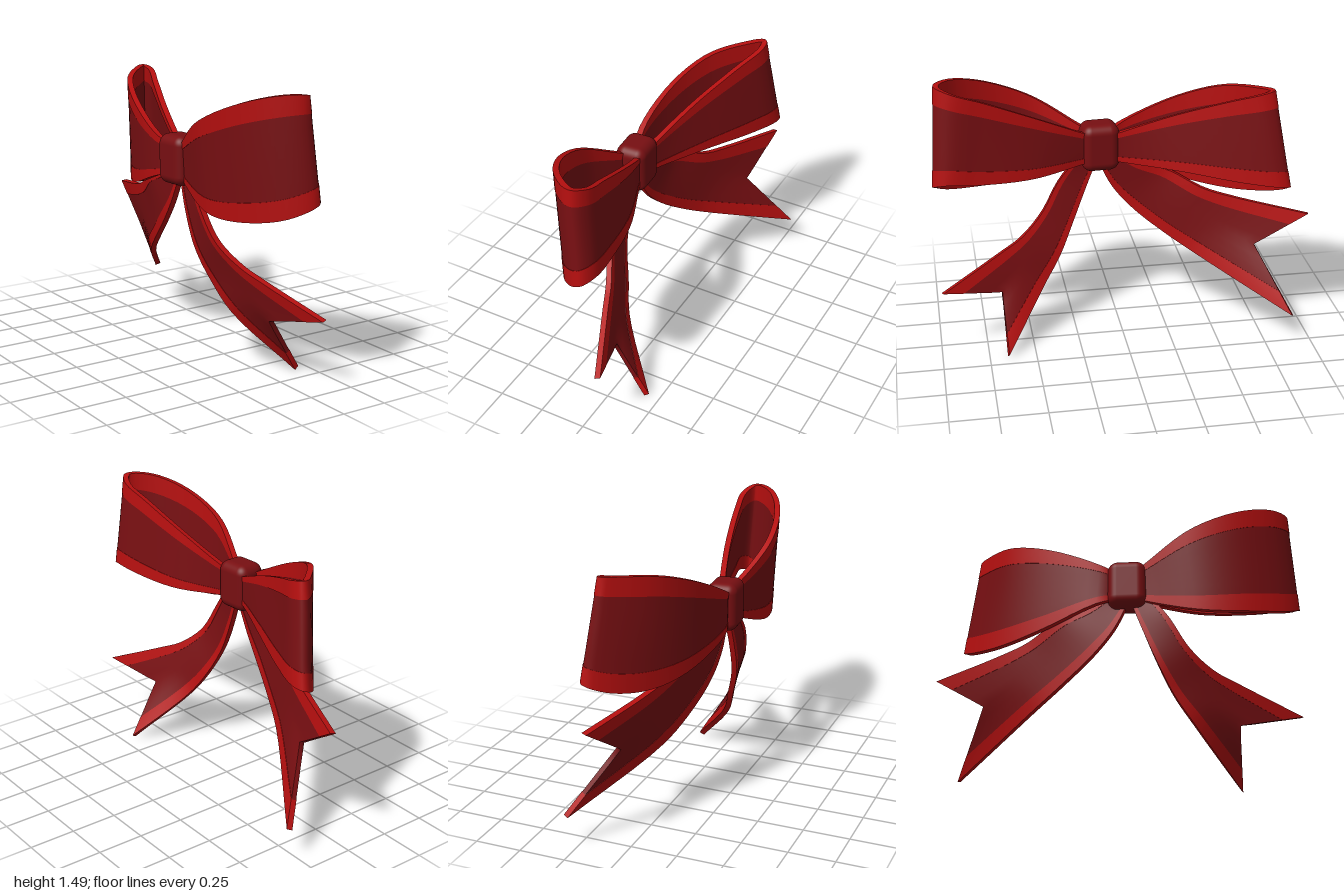
import * as THREE from 'three';
import { mergeGeometries } from 'three/addons/utils/BufferGeometryUtils.js';
import { RoundedBoxGeometry } from 'three/addons/geometries/RoundedBoxGeometry.js';

const cloth = new THREE.MeshStandardMaterial({ color: 0x780f12 });
const trim = new THREE.MeshStandardMaterial({ color: 0xb50f0f });
const lerp = THREE.MathUtils.lerp;
const rail = (pts) => new THREE.CatmullRomCurve3(pts.map((p) => new THREE.Vector3(...p)));

// Smooth patch; its front faces da x db
function patch(fn, na, nb) {
  const pos = [], idx = [];
  for (let i = 0; i <= na; i++) {
    for (let j = 0; j <= nb; j++) {
      pos.push(...fn(i / na, j / nb).toArray());
      if (i < na && j < nb) {
        const a = i * (nb + 1) + j, b = a + nb + 1;
        idx.push(a, b, b + 1, a, b + 1, a + 1);
      }
    }
  }
  const g = new THREE.BufferGeometry();
  g.setAttribute('position', new THREE.Float32BufferAttribute(pos, 3));
  g.setIndex(idx);
  g.computeVertexNormals();
  return g;
}

// Solid strip of the surface P(u, v) between v0 and v1
function slab(P, v0, v1, thickness, nu, nv) {
  const e = 0.004;
  const at = (u, k, s) => {
    const v = lerp(v0, v1, k);
    const du = P(Math.min(u + e, 1), v).sub(P(Math.max(u - e, 0), v));
    const dv = P(u, Math.min(v + e, 1)).sub(P(u, Math.max(v - e, 0)));
    const n = du.cross(dv).normalize();
    return P(u, v).addScaledVector(n, (s - 0.5) * thickness);
  };
  return mergeGeometries([
    patch((u, k) => at(u, k, 1), nu, nv),
    patch((k, u) => at(u, k, 0), nv, nu),
    patch((s, u) => at(u, 1, s), 1, nu),
    patch((u, s) => at(u, 0, s), nu, 1),
    patch((k, s) => at(1, k, s), nv, 1),
    patch((s, k) => at(0, k, s), 1, nv),
  ]);
}

// Ribbon between two edge rails, with brighter bands along both edges.
// A notch point pulls the middle of the free end back into a swallowtail.
function ribbon(name, edgeA, edgeB, notch) {
  const middle = edgeA.map((p, i) => p.map((c, k) => (c + edgeB[i][k]) / 2));
  if (notch) middle[middle.length - 1] = notch;
  const a = rail(edgeA), m = rail(middle), b = rail(edgeB);
  const P = (u, v) => (v < 0.5
    ? a.getPoint(u).lerp(m.getPoint(u), v * 2)
    : m.getPoint(u).lerp(b.getPoint(u), v * 2 - 1));
  const nu = notch ? 24 : 48, band = 0.17;
  const group = new THREE.Group();
  group.name = name;
  const add = (part, material, v0, v1, thickness, nv) => {
    const mesh = new THREE.Mesh(slab(P, v0, v1, thickness, nu, nv), material);
    mesh.name = part;
    group.add(mesh);
  };
  add('upperTrim', trim, 0, band, 0.03, 2);
  add('centerCloth', cloth, band, 1 - band, 0.026, 6);
  add('lowerTrim', trim, 1 - band, 1, 0.03, 2);
  return group;
}

export function createModel() {
  const bow = new THREE.Group();
  bow.name = 'ribbonBow';

  // Loops: out along the +x side, round the end, back along the -x side
  bow.add(ribbon('frontLoop', [
    [-0.14, 1.13, 0.13], [-0.11, 1.17, 0.22], [-0.05, 1.28, 0.45], [0, 1.4, 0.72],
    [0.015, 1.46, 0.88], [-0.03, 1.49, 0.95], [-0.14, 1.485, 0.88],
    [-0.245, 1.43, 0.7], [-0.285, 1.32, 0.45], [-0.22, 1.18, 0.22], [-0.18, 1.13, 0.13],
  ], [
    [-0.14, 0.99, 0.13], [-0.11, 0.98, 0.22], [-0.01, 0.96, 0.48], [0.045, 0.97, 0.77],
    [0.06, 0.985, 0.92], [0.02, 0.96, 0.985], [-0.09, 0.9, 0.92],
    [-0.2, 0.86, 0.74], [-0.25, 0.86, 0.5], [-0.21, 0.94, 0.24], [-0.18, 0.99, 0.13],
  ]));
  bow.add(ribbon('backLoop', [
    [-0.14, 1.12, 0.07], [-0.12, 1.15, -0.01], [-0.03, 1.26, -0.28], [0.08, 1.36, -0.55],
    [0.14, 1.41, -0.7], [0.13, 1.425, -0.76], [0.05, 1.42, -0.7],
    [-0.09, 1.39, -0.54], [-0.19, 1.3, -0.3], [-0.22, 1.17, -0.03], [-0.18, 1.12, 0.07],
  ], [
    [-0.14, 0.99, 0.07], [-0.12, 0.98, -0.01], [0.02, 0.96, -0.32], [0.14, 0.93, -0.6],
    [0.205, 0.915, -0.79], [0.19, 0.9, -0.85], [0.09, 0.85, -0.78],
    [-0.04, 0.82, -0.6], [-0.15, 0.85, -0.36], [-0.22, 0.95, -0.05], [-0.18, 0.99, 0.07],
  ]));

  // Swallowtail ends
  bow.add(ribbon('frontTail', [
    [-0.17, 1.02, 0.2], [-0.19, 0.86, 0.32], [-0.16, 0.69, 0.42],
    [-0.1, 0.58, 0.54], [-0.05, 0.52, 0.66], [0.09, 0.375, 0.98],
  ], [
    [-0.17, 1.02, 0.1], [-0.18, 0.8, 0.18], [-0.17, 0.62, 0.25],
    [-0.12, 0.45, 0.33], [-0.06, 0.3, 0.43], [0.18, 0.015, 0.65],
  ], [0, 0.31, 0.66]));
  bow.add(ribbon('backTail', [
    [-0.17, 1.02, 0.03], [-0.15, 0.95, -0.12], [-0.13, 0.91, -0.27],
    [-0.06, 0.82, -0.45], [-0.01, 0.78, -0.6], [0.125, 0.71, -0.99],
  ], [
    [-0.17, 1, 0.12], [-0.17, 0.82, 0.03], [-0.15, 0.69, -0.08],
    [-0.1, 0.56, -0.24], [-0.02, 0.44, -0.42], [0.295, 0.185, -0.885],
  ], [0.075, 0.525, -0.71]));

  // Knot: soft block, slightly fuller at mid height
  const knotShape = new RoundedBoxGeometry(0.165, 0.26, 0.2, 6, 0.05);
  const p = knotShape.attributes.position;
  for (let i = 0; i < p.count; i++) {
    const swell = 1.07 - 6 * p.getY(i) ** 2;
    p.setZ(i, p.getZ(i) * swell);
  }
  const knot = new THREE.Mesh(knotShape, cloth);
  knot.name = 'knot';
  knot.position.set(-0.173, 1.06, 0.1);
  knot.rotation.y = 0.06;
  bow.add(knot);
  return bow;
}
